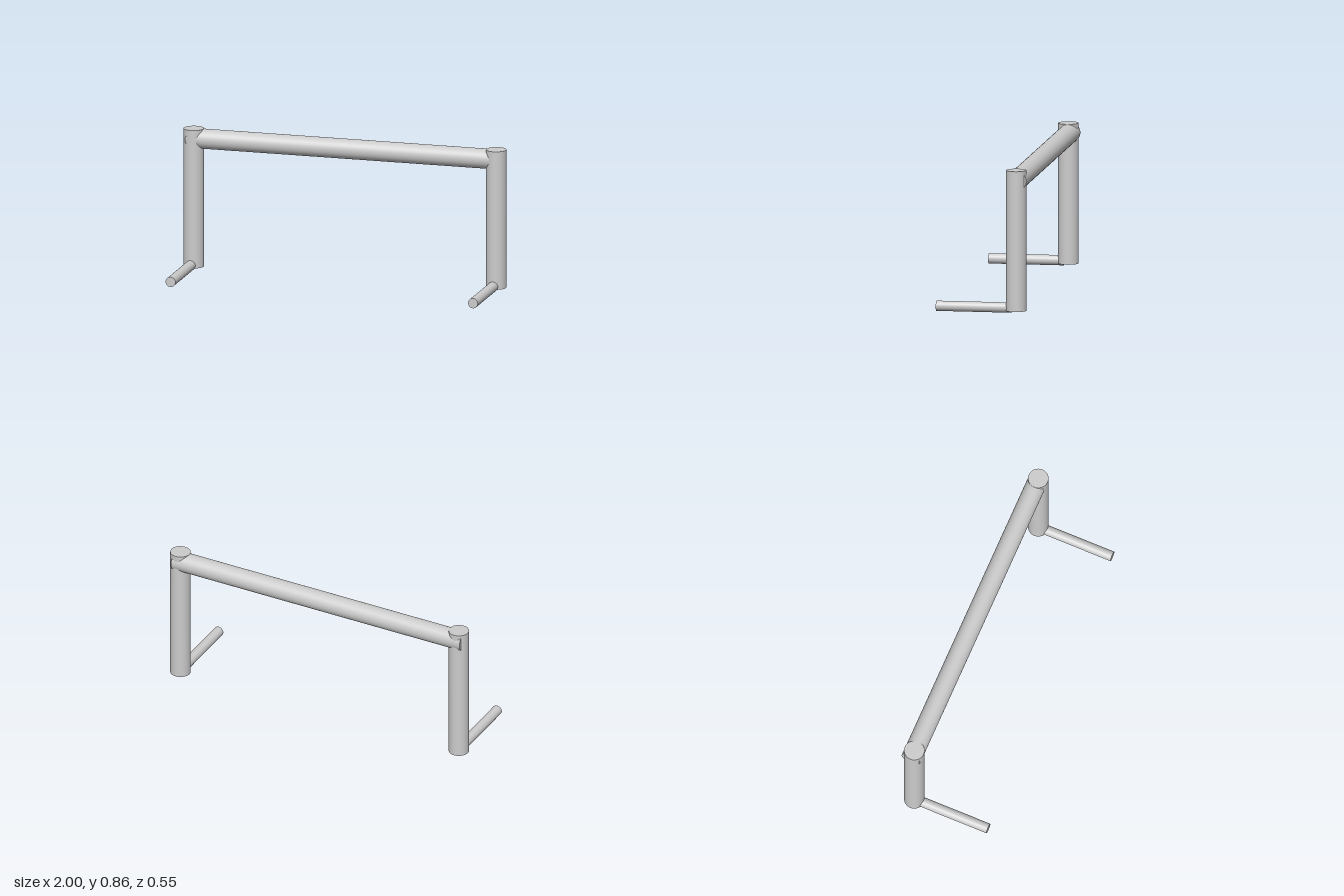
import * as THREE from 'three';

const material = new THREE.MeshStandardMaterial({ color: 0xcccccc });

// Capped round bar between two points
function rod(name, radius, from, to) {
  const a = new THREE.Vector3(...from);
  const b = new THREE.Vector3(...to);
  const dir = b.clone().sub(a);
  const mesh = new THREE.Mesh(new THREE.CylinderGeometry(radius, radius, dir.length(), 48), material);
  mesh.name = name;
  mesh.position.copy(a).add(b).multiplyScalar(0.5);
  mesh.quaternion.setFromUnitVectors(new THREE.Vector3(0, 1, 0), dir.normalize());
  return mesh;
}

export function createModel() {
  const model = new THREE.Group();
  model.name = 'barFrame';

  // Upright posts, each with a thin foot reaching forward
  for (const [side, s] of [['left', 1], ['right', -1]]) {
    const x = s * 0.939;
    const footX = x - 0.004;
    model.add(rod(side + 'Post', 0.061, [x, 0.014, -0.208], [x, 0.861, -0.208]));
    model.add(rod(side + 'Foot', 0.0305, [footX, 0.0305, -0.18], [footX, 0.0305, 0.274]));
  }

  // Crossbar passing through both posts, set slightly to the back
  model.add(rod('crossbar', 0.06, [-0.977, 0.799, -0.214], [0.968, 0.799, -0.214]));

  return model;
}
